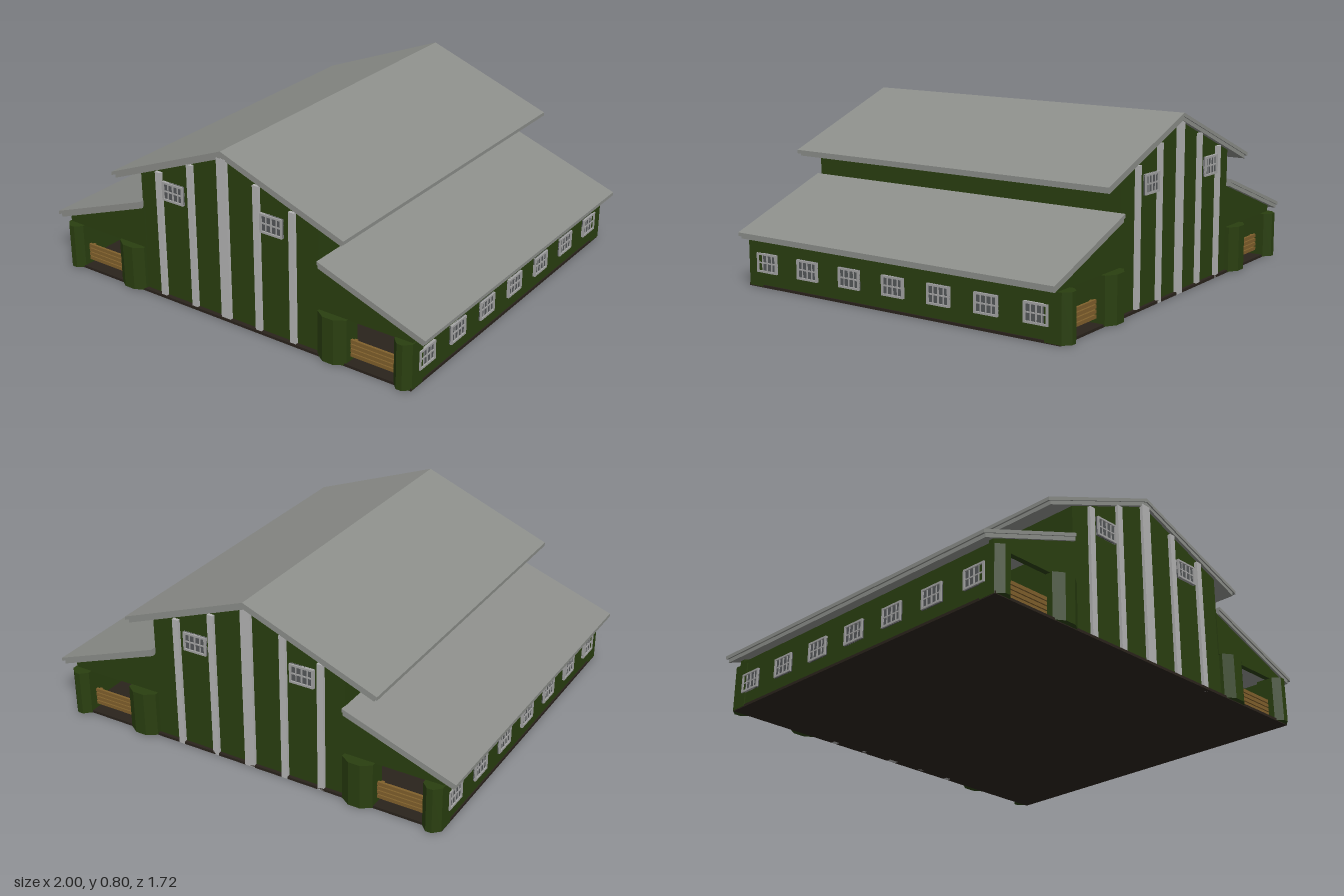
import * as THREE from 'three';

const mat = (color) => new THREE.MeshStandardMaterial({ color, flatShading: true });

export function createModel() {
  const barn = new THREE.Group();
  barn.name = 'barn';
  const green = mat(0x2a3f10), roofGrey = mat(0x8c8e8a), trim = mat(0xb4b4b4);
  const frameGrey = mat(0xa4a4a4), glass = mat(0x55585a), wood = mat(0x80602c), earth = mat(0x2a231c);

  const add = (name, geometry, material, parent = barn) => {
    const mesh = new THREE.Mesh(geometry, material);
    mesh.name = name;
    parent.add(mesh);
    return mesh;
  };
  const box = (name, w, h, d, x, y, z, material, parent) => {
    const mesh = add(name, new THREE.BoxGeometry(w, h, d), material, parent);
    mesh.position.set(x, y, z);
    return mesh;
  };
  // Outline in x/y, extruded from z0 to z1
  const prism = (name, points, z0, z1, material) => {
    const shape = new THREE.Shape(points.map(([x, y]) => new THREE.Vector2(x, y)));
    const geo = new THREE.ExtrudeGeometry(shape, { depth: z1 - z0, bevelEnabled: false });
    return add(name, geo.translate(0, 0, z0), material);
  };
  // Sloped sheet with its top edge from (xa, ya) to (xb, yb)
  const sheet = (name, xa, ya, xb, yb, t, z0, z1, material) =>
    prism(name, [[xa, ya], [xb, yb], [xb, yb - t], [xa, ya - t]], z0, z1, material);
  // Sheet over a slightly shorter, recessed lower layer
  const roof = (name, xa, ya, xb, yb) => {
    const k = 0.975, xm = xa + (xb - xa) * k, ym = ya + (yb - ya) * k;
    sheet(name, xa, ya, xb, yb, 0.016, -0.84, 0.83, roofGrey);
    sheet(name + 'Lining', xa, ya - 0.016, xm, ym - 0.016, 0.018, -0.834, 0.824, roofGrey);
  };

  // Ground slab
  box('floor', 1.88, 0.012, 1.66, 0, 0.006, 0, earth);

  // Tall central hall
  prism('hall', [[-0.48, 0.005], [0.475, 0.005], [0.475, 0.59], [-0.01, 0.77], [-0.48, 0.59]], -0.815, 0.81, green);

  // Main gable roof, its left slope a little longer
  roof('mainRoofLeft', -0.01, 0.8, -0.64, 0.545);
  roof('mainRoofRight', -0.01, 0.8, 0.61, 0.57);

  // Barred window facing +z
  const windowUnit = (name, x, y, z, turn) => {
    const unit = new THREE.Group();
    unit.name = name;
    const w = 0.116, h = 0.088;
    box('pane', w, h, 0.006, 0, 0, 0, glass, unit);
    for (const s of [-1, 1]) {
      box('rail', w, 0.009, 0.014, 0, s * (h / 2 - 0.0045), 0.003, frameGrey, unit);
      box('stile', 0.009, h, 0.014, s * (w / 2 - 0.0045), 0, 0.003, frameGrey, unit);
      box('bar', 0.004, h, 0.01, s * 0.027, 0, 0.002, frameGrey, unit);
    }
    box('crossBar', w, 0.006, 0.01, 0, 0, 0.002, frameGrey, unit);
    box('middleBar', 0.006, h, 0.01, 0, 0, 0.002, frameGrey, unit);
    unit.position.set(x, y, z);
    unit.rotation.y = turn;
    barn.add(unit);
  };

  // Pilaster with chamfered outer corners, standing out at a gable end
  const pilaster = (name, x, w, chamfer, end) => {
    const a = w / 2, b = a - chamfer;
    const shape = new THREE.Shape([[-a, 0], [a, 0], [a, 0.08], [b, 0.11], [-b, 0.11], [-a, 0.08]]
      .map(([px, py]) => new THREE.Vector2(px, py)));
    const geo = new THREE.ExtrudeGeometry(shape, { depth: 0.21, bevelEnabled: false });
    geo.rotateX(-Math.PI / 2);
    geo.rotateY(end > 0 ? Math.PI : 0);
    geo.translate(x, 0.004, end > 0 ? 0.745 : -0.755);
    add(name, geo, green);
  };

  // Gable ends: vertical battens, high windows
  const battens = [[-0.37, 0.03, 0.61], [-0.19, 0.03, 0.69], [-0.013, 0.05, 0.765], [0.165, 0.03, 0.69], [0.348, 0.03, 0.62]];
  for (const end of [1, -1]) {
    const face = end > 0 ? 0.81 : -0.815;
    for (const [x, w, top] of battens) box('batten', w, top, 0.024, x, top / 2, face + end * 0.003, trim);
    for (const x of [-0.285, 0.247]) windowUnit('gableWindow', x, 0.533, face + end * 0.012, end > 0 ? 0 : Math.PI);
  }

  // Side aisles: lean-to roof, outer wall, open ends with gates
  for (const side of [1, -1]) {
    roof(side > 0 ? 'leftAisleRoof' : 'rightAisleRoof', side * 0.478, 0.442, side, 0.252);
    box('outerWall', 0.03, 0.225, 1.62, side * 0.92, 0.1175, -0.003, green);
    for (let i = -3; i <= 3; i++) windowUnit('aisleWindow', side * 0.937, 0.114, i * 0.239, side * Math.PI / 2);

    for (const end of [1, -1]) {
      const z = end > 0 ? 0.79 : -0.815;
      prism('aisleGable', [[side * 0.47, 0.212], [side * 0.935, 0.212], [side * 0.935, 0.245], [side * 0.47, 0.415]], z, z + 0.025, green);
      pilaster('innerPilaster', side * 0.55, 0.145, 0.045, end);
      pilaster('outerPilaster', side * 0.897, 0.088, 0.03, end);
      for (let i = 0; i < 4; i++) {
        box('gateBoard', 0.235, 0.016, 0.012, side * 0.737, 0.04 + i * 0.021, end * 0.79, wood);
      }
      for (const x of [0.64, 0.835]) box('gateUpright', 0.014, 0.08, 0.01, side * x, 0.07, end * 0.78, wood);
    }
  }
  return barn;
}
